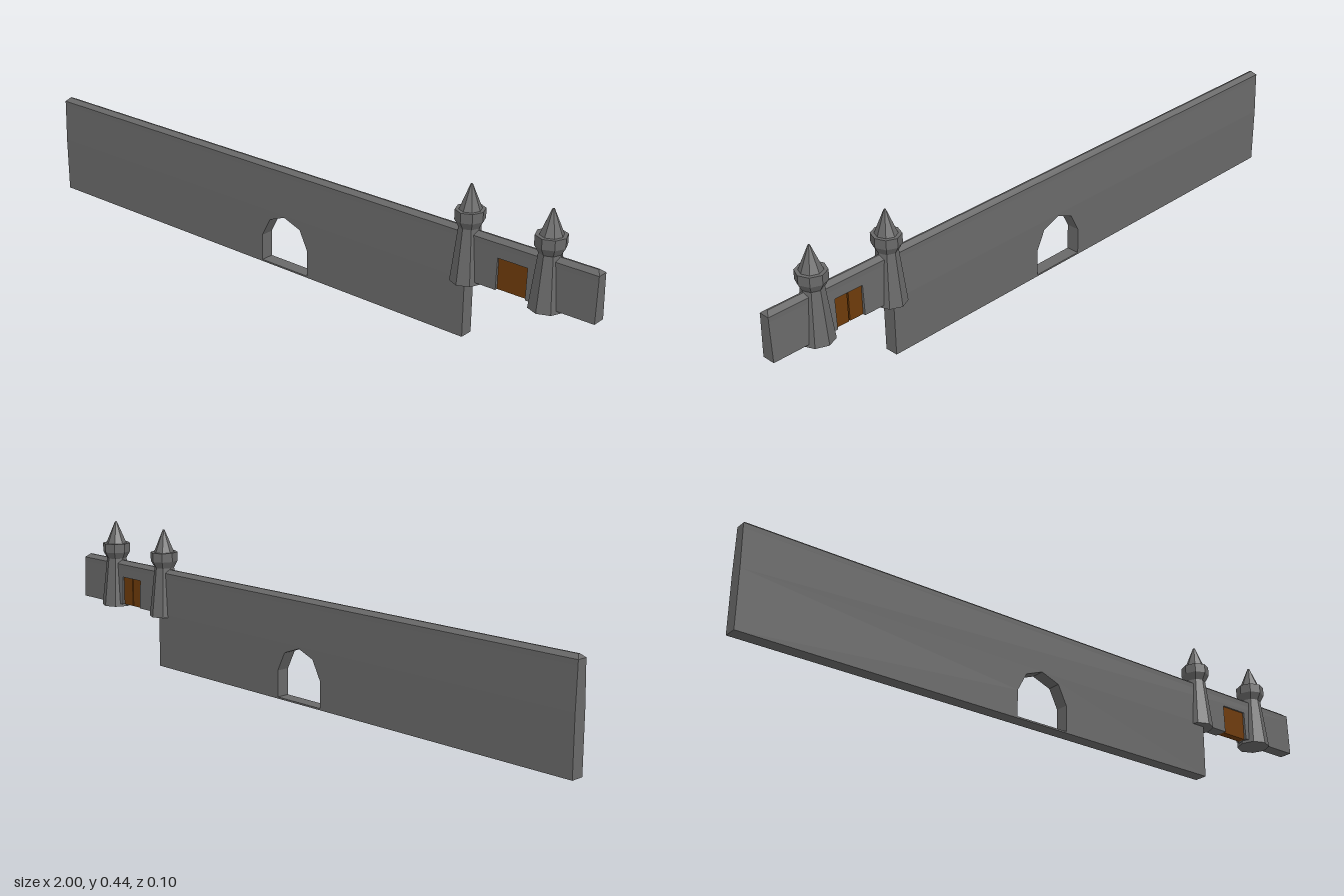
import * as THREE from 'three';

const BASE = 0.172, LEDGE = 0.288, EAVE = 0.303, PEAK = 0.314;
const THICK = 0.0205, THIN = 0.0165;

// Half thickness of the wall: upright below, tapering above
function halfDepth(y) {
  const t = THREE.MathUtils.clamp((y - BASE) / (LEDGE - BASE), 0, 1);
  return THREE.MathUtils.lerp(THICK, THIN, t);
}

function shapeFrom(points) {
  return new THREE.Shape(points.map(([x, y]) => new THREE.Vector2(x, y)));
}

// Wall slab cut from a front outline, with its depth following halfDepth
function slab(shape) {
  const geo = new THREE.ExtrudeGeometry(shape, { depth: 2, bevelEnabled: false });
  geo.translate(0, 0, -1);
  const p = geo.attributes.position;
  for (let i = 0; i < p.count; i++) p.setZ(i, p.getZ(i) * halfDepth(p.getY(i)));
  geo.computeVertexNormals();
  return geo;
}

export function createModel() {
  const model = new THREE.Group();
  const stone = new THREE.MeshStandardMaterial({ color: 0x696969 });
  stone.name = 'grey stone';
  stone.flatShading = true;
  const wood = new THREE.MeshStandardMaterial({ color: 0x6e3b0a });
  wood.name = 'brown wood';

  function add(name, geometry, material, x = 0, y = 0, z = 0, parent = model) {
    const mesh = new THREE.Mesh(geometry, material);
    mesh.name = name;
    mesh.position.set(x, y, z);
    parent.add(mesh);
    return mesh;
  }

  // Lower wall with a faceted archway above a thin sill
  const lower = shapeFrom([[-1, 0], [0.605, 0], [0.605, BASE], [-1, BASE]]);
  lower.holes.push(new THREE.Path([
    [-0.123, 0.005], [-0.123, 0.085], [-0.092, 0.143], [-0.036, 0.165],
    [0.024, 0.143], [0.053, 0.085], [0.053, 0.005],
  ].map(([x, y]) => new THREE.Vector2(x, y))));
  add('lowerWall', slab(lower), stone);

  // Upper wall running on past the lower one, notched for the gate
  const upper = shapeFrom([
    [-1, BASE], [0.703, BASE], [0.703, 0.262], [0.795, 0.262],
    [0.795, BASE], [1, BASE], [1, LEDGE], [-1, LEDGE],
  ]);
  add('upperWall', slab(upper), stone);

  // Coping: upright band and a hipped ridge
  add('copingBand', new THREE.BoxGeometry(2, EAVE - LEDGE, THIN * 2), stone, 0, (EAVE + LEDGE) / 2);
  const ridge = new THREE.BoxGeometry(2, PEAK - EAVE, THIN * 2);
  const rp = ridge.attributes.position;
  for (let i = 0; i < rp.count; i++) {
    if (rp.getY(i) > 0) {
      rp.setX(i, Math.sign(rp.getX(i)) * 0.99);
      rp.setZ(i, rp.getZ(i) * 0.15);
    }
  }
  ridge.computeVertexNormals();
  add('copingRidge', ridge, stone, 0, (EAVE + PEAK) / 2);

  // Gate: one panel in front, two leaves behind
  const gate = new THREE.Group();
  gate.name = 'gate';
  gate.position.set(0.749, 0.217, 0);
  model.add(gate);
  add('gatePanel', new THREE.BoxGeometry(0.092, 0.09, 0.018), wood, 0, 0, 0.003, gate);
  for (const side of [-1, 1]) {
    add('gateLeaf', new THREE.BoxGeometry(0.044, 0.09, 0.006), wood, side * 0.024, 0, -0.009, gate);
  }

  // Octagonal towers: tapered shaft, flared head and spire
  const profile = [
    [0, 0.163], [0.051, 0.163], [0.032, 0.318], [0.044, 0.339],
    [0.044, 0.367], [0.033, 0.367], [0.003, 0.437], [0, 0.437],
  ].map(([r, y]) => new THREE.Vector2(r, y));
  const towerGeometry = new THREE.LatheGeometry(profile, 8);
  for (const [x, width] of [[0.6, 0.92], [0.848, 0.98]]) {
    add('tower', towerGeometry, stone, x).scale.x = width;
  }

  return model;
}
